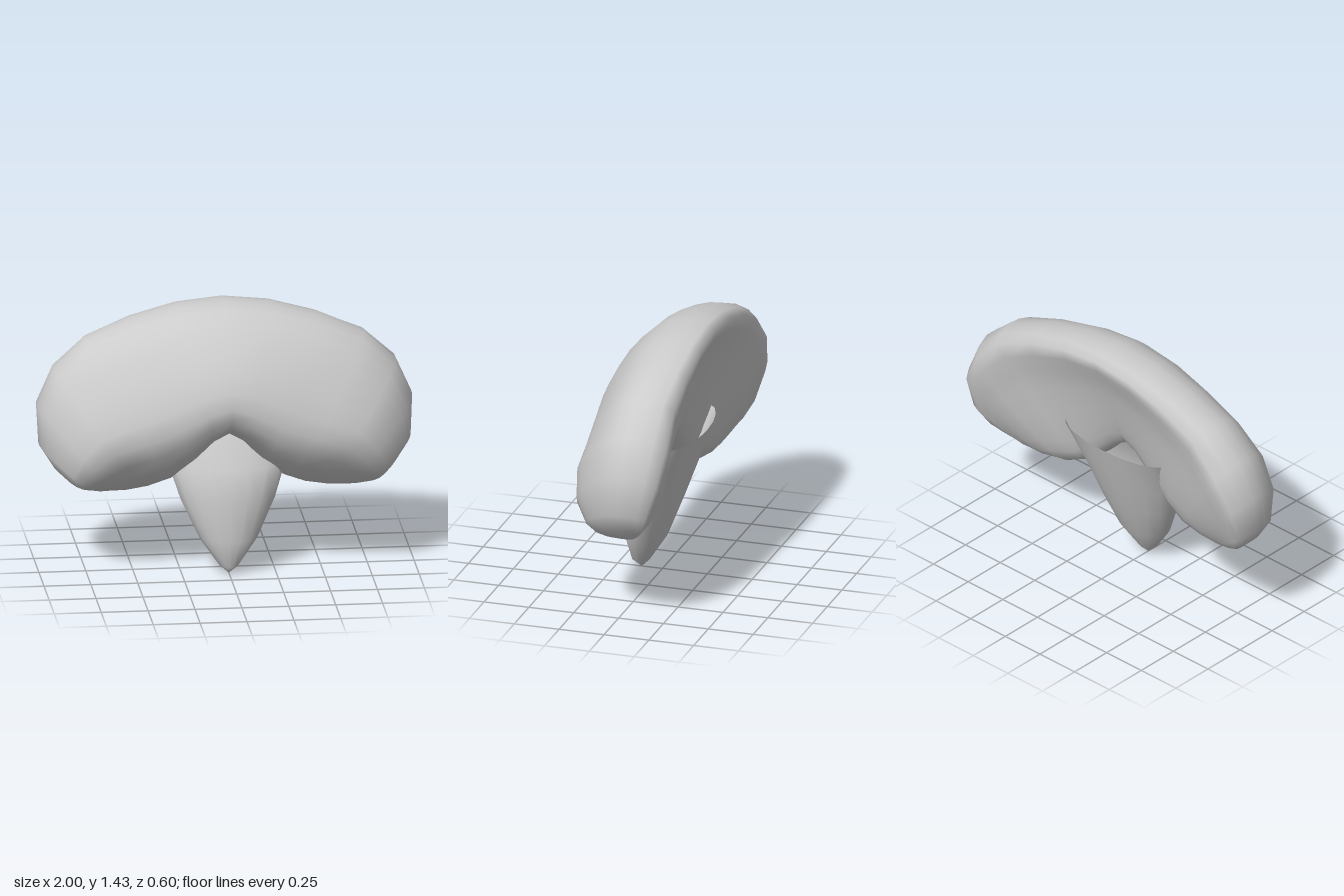
import * as THREE from 'three';

// Skin a list of closed rings (equal point counts) with smooth normals
function loft(rings) {
  const n = rings[0].length, index = [];
  for (let v = 0; v < rings.length - 1; v++) {
    for (let u = 0; u < n; u++) {
      const a = v * n + u, b = v * n + (u + 1) % n;
      index.push(a, b, a + n, b, b + n, a + n);
    }
  }
  const geometry = new THREE.BufferGeometry().setFromPoints(rings.flat());
  geometry.setIndex(index);
  geometry.computeVertexNormals();
  return geometry;
}

// Closed smooth section from [position from inner to outer edge, z]
const smoothSection = points => new THREE.CatmullRomCurve3(
  points.map(([t, z]) => new THREE.Vector3(t, z, 0)), true).getPoints(24).slice(0, 24);

// Bean-shaped cap: a section swept along an arch, blending into rounder lobes
function capGeometry() {
  // Both run: back rim, over the top, front, underside, sloping back
  const middle = smoothSection([
    [0.95, -0.30], [1, -0.18], [0.97, -0.03], [0.81, 0.11], [0.54, 0.24], [0.28, 0.30],
    [0.09, 0.24], [0, 0.1], [0, -0.04], [0.12, -0.1], [0.38, -0.16], [0.72, -0.235],
  ]);
  const lobe = smoothSection([
    [0.9, -0.30], [1, -0.16], [0.97, -0.02], [0.84, 0.1], [0.64, 0.21], [0.41, 0.27],
    [0.15, 0.15], [0, -0.01], [0.06, -0.1], [0.22, -0.16], [0.45, -0.22], [0.7, -0.275],
  ]);

  // Outer edge x, y; inner edge x, y; depth scale; lobe blend; from the middle to the end
  const half = [
    [0, 1.435, 0, 0.77, 1, 0], [0.25, 1.41, 0.08, 0.725, 1, 0], [0.5, 1.345, 0.18, 0.62, 0.99, 0.15],
    [0.74, 1.25, 0.3, 0.515, 0.98, 0.5], [0.91, 1.1, 0.42, 0.457, 1, 1], [1, 0.9, 0.54, 0.437, 0.9, 1],
    [0.99, 0.68, 0.66, 0.435, 0.66, 1], [0.92, 0.57, 0.72, 0.443, 0.47, 1],
    [0.86, 0.51, 0.765, 0.46, 0.27, 1], [0.81, 0.48, 0.81, 0.48, 0, 1],
  ];
  const mirrored = half.slice(1).reverse().map(([ox, oy, ix, ...rest]) => [-ox, oy, -ix, ...rest]);
  const zMid = -0.04;
  return loft([...mirrored, ...half].map(([ox, oy, ix, iy, k, blend]) => middle.map((m, i) => {
    const p = m.clone().lerp(lobe[i], blend);
    return new THREE.Vector3(ix + (ox - ix) * p.x, iy + (oy - iy) * p.x, zMid + (p.y - zMid) * k);
  })));
}

// Pointed stem: open at the top, leaning back
function stemGeometry() {
  // y, half width, front z, back z
  const levels = [
    [0, 0, 0.115, 0.115], [0.045, 0.05, 0.168, 0.07], [0.19, 0.155, 0.2, -0.025],
    [0.4, 0.255, 0.187, -0.105], [0.58, 0.315, 0.16, -0.17], [0.82, 0.365, 0.0, -0.25],
  ];
  const sides = 18;
  return loft(levels.map(([y, w, front, back]) => Array.from({ length: sides }, (_, i) => {
    const a = i / sides * Math.PI * 2;
    return new THREE.Vector3(w * Math.sin(a), y, (front + back) / 2 + (front - back) / 2 * Math.cos(a));
  })));
}

export function createModel() {
  const group = new THREE.Group();
  const material = new THREE.MeshStandardMaterial({ color: 0xcccccc, side: THREE.DoubleSide });
  for (const [name, geometry] of [['cap', capGeometry()], ['stem', stemGeometry()]]) {
    const mesh = new THREE.Mesh(geometry, material);
    mesh.name = name;
    group.add(mesh);
  }
  return group;
}
